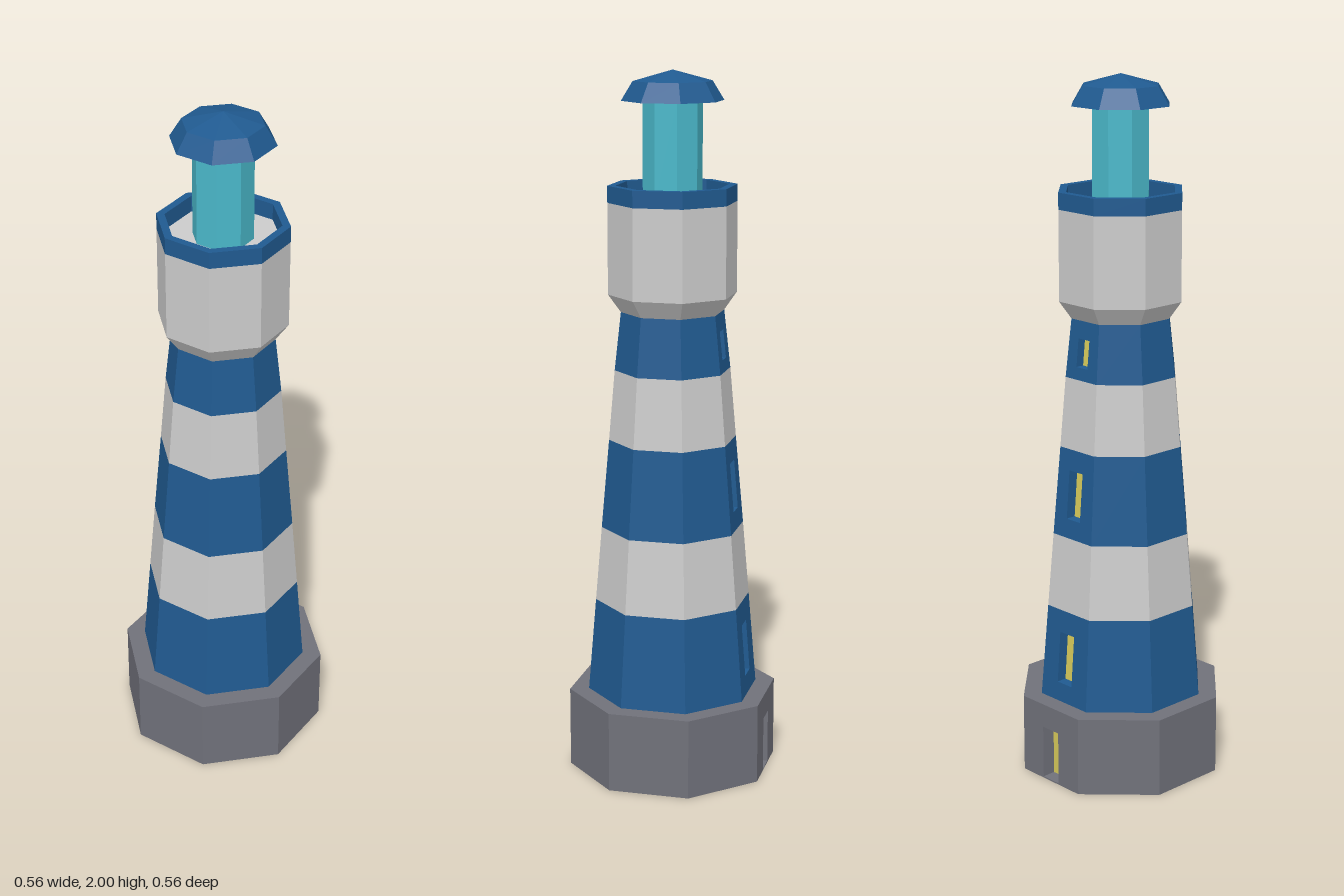
import * as THREE from 'three';

const EIGHTH = Math.PI / 8;
const toRadius = 1 / Math.cos(EIGHTH); // flat-to-centre distance -> corner radius

const paint = (color) =>
  new THREE.MeshStandardMaterial({ color, flatShading: true, side: THREE.DoubleSide });

export function createModel() {
  const model = new THREE.Group();
  const white = paint(0xcccccc);
  const blue = paint(0x205a90);
  const stone = paint(0x70717a);
  const glass = paint(0x4ab8ca);
  const yellow = paint(0xd6c95a);

  function add(name, geometry, material, parent = model) {
    const mesh = new THREE.Mesh(geometry, material);
    mesh.name = name;
    parent.add(mesh);
    return mesh;
  }

  // Open octagonal wall from half-width a0 at y0 to a1 at y1
  function wall(name, a0, y0, a1, y1, material, sides = 8) {
    const start = sides === 8 ? EIGHTH : Math.PI + EIGHTH;
    const g = new THREE.CylinderGeometry(
      a1 * toRadius, a0 * toRadius, y1 - y0, sides, 1, true, start, sides * 2 * EIGHTH);
    g.translate(0, (y0 + y1) / 2, 0);
    return add(name, g, material);
  }

  // Flat octagonal ring, facing up or down
  function ring(name, inner, outer, y, material, up = true) {
    const g = new THREE.RingGeometry(inner * toRadius, outer * toRadius, 8, 1, EIGHTH);
    g.rotateX(up ? -Math.PI / 2 : Math.PI / 2);
    g.translate(0, y, 0);
    return add(name, g, material);
  }

  // Octagonal wall whose back side has a recessed window
  function wallWithWindow(name, a0, y0, a1, y1, material, win) {
    wall(name, a0, y0, a1, y1, material, 7);
    const half = (y) => a0 + ((a1 - a0) * (y - y0)) / (y1 - y0);
    const k = Math.tan(EIGHTH);
    const w = win.width / 2;
    const corners = [[-w, win.bottom], [w, win.bottom], [w, win.top], [-w, win.top]];
    const outline = (pts) => pts.map(([x, y]) => new THREE.Vector2(x, y));

    // Lay a flat shape on the back side, set in by depth
    const onBack = (shape, depth) => {
      const g = new THREE.ShapeGeometry(shape).rotateY(Math.PI);
      const p = g.attributes.position;
      for (let i = 0; i < p.count; i++) p.setZ(i, depth - half(p.getY(i)));
      g.computeVertexNormals();
      return g;
    };

    const panel = new THREE.Shape(outline([[-a0 * k, y0], [a0 * k, y0], [a1 * k, y1], [-a1 * k, y1]]));
    panel.holes.push(new THREE.Path(outline([...corners].reverse())));
    add(name + 'Back', onBack(panel, 0), material);
    add(name + 'WindowPane', onBack(new THREE.Shape(outline(corners)), win.depth), yellow);

    // Four sides of the recess
    const pos = [];
    corners.forEach(([x, y], i) => {
      const [u, v] = corners[(i + 1) % 4];
      const a = [x, y, -half(y)], b = [u, v, -half(v)];
      const c = [u, v, win.depth - half(v)], d = [x, y, win.depth - half(y)];
      pos.push(...a, ...b, ...c, ...a, ...c, ...d);
    });
    const g = new THREE.BufferGeometry();
    g.setAttribute('position', new THREE.Float32BufferAttribute(pos, 3));
    g.computeVertexNormals();
    add(name + 'WindowRecess', g, material);
  }

  // Stone base, open below
  wallWithWindow('base', 0.278, 0, 0.278, 0.23, stone,
    { width: 0.064, bottom: 0.004, top: 0.16, depth: 0.04 });
  ring('baseTop', 0.227, 0.278, 0.23, stone);

  // Tapering striped tower
  wallWithWindow('lowerBlueBand', 0.227, 0.23, 0.206, 0.5, blue,
    { width: 0.058, bottom: 0.285, top: 0.435, depth: 0.03 });
  wall('lowerWhiteBand', 0.206, 0.5, 0.189, 0.715, white);
  wallWithWindow('middleBlueBand', 0.189, 0.715, 0.168, 0.97, blue,
    { width: 0.054, bottom: 0.77, top: 0.91, depth: 0.03 });
  wall('upperWhiteBand', 0.168, 0.97, 0.152, 1.17, white);
  wallWithWindow('upperBlueBand', 0.152, 1.17, 0.135, 1.335, blue,
    { width: 0.044, bottom: 1.205, top: 1.285, depth: 0.025 });

  // Gallery with blue rim
  wall('galleryFlare', 0.135, 1.335, 0.168, 1.385, white);
  wall('galleryWall', 0.168, 1.385, 0.168, 1.64, white);
  wall('rimOutside', 0.168, 1.64, 0.168, 1.687, blue);
  ring('rimTop', 0.147, 0.168, 1.687, blue);
  wall('rimInside', 0.147, 1.64, 0.147, 1.687, blue);
  ring('galleryFloor', 0.077, 0.147, 1.64, white);

  // Lantern and cap
  wall('lantern', 0.077, 1.64, 0.077, 1.917, glass);
  ring('capUnderside', 0.077, 0.132, 1.917, stone, false);
  wall('capSkirt', 0.132, 1.917, 0.102, 1.97, blue);
  wall('capTop', 0.102, 1.97, 0, 2, blue);

  return model;
}
